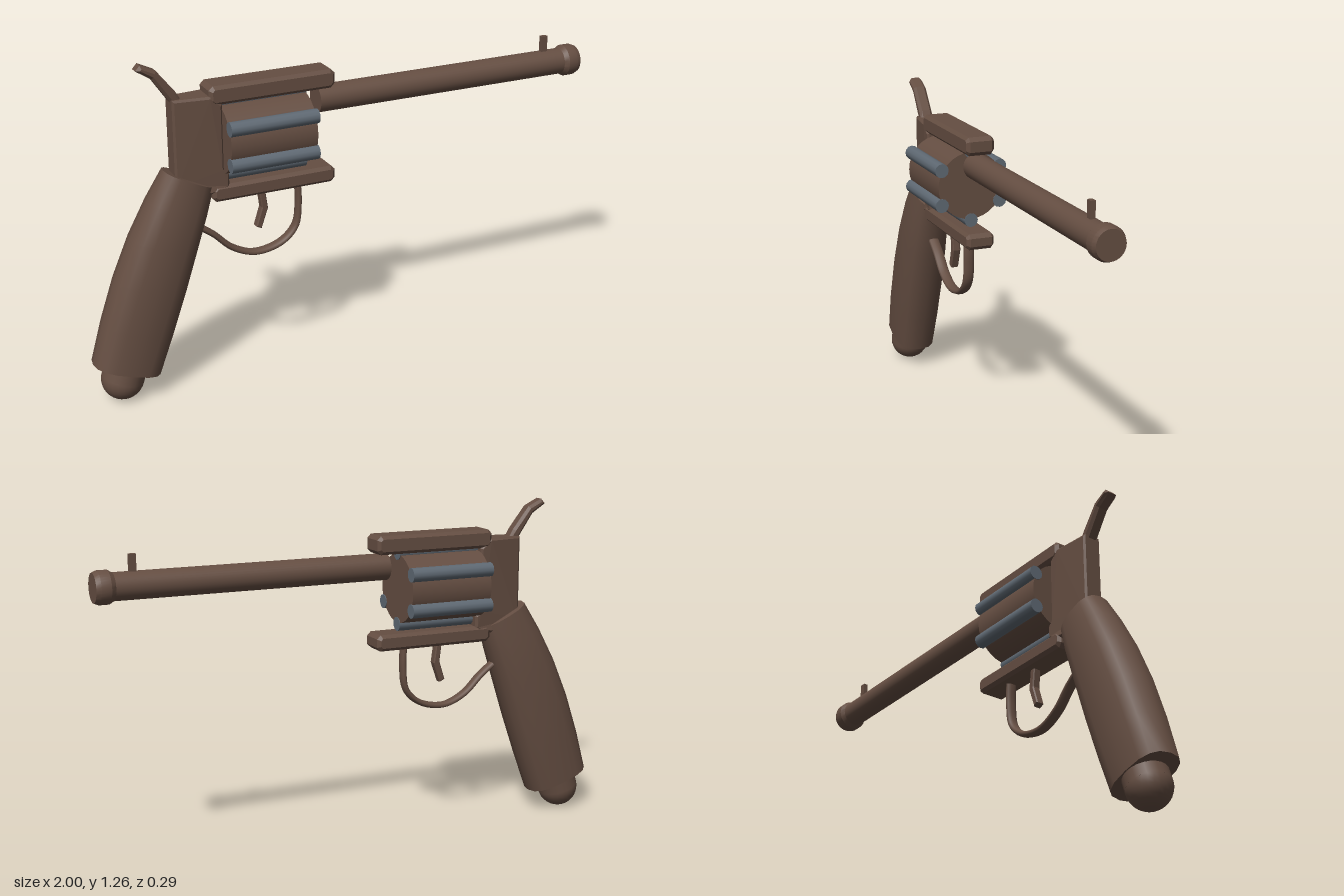
import * as THREE from 'three';
import { toCreasedNormals } from 'three/addons/utils/BufferGeometryUtils.js';

const brown = new THREE.MeshStandardMaterial({ color: 0x654e42 });
brown.name = 'brown';
const steel = new THREE.MeshStandardMaterial({ color: 0x5f6973 });
steel.name = 'steel grey';

// Side profile in x/y, extruded to a half width in z with chamfered edges
function plate(points, halfWidth, bevel) {
  const shape = new THREE.Shape(points.map(([x, y]) => new THREE.Vector2(x, y)));
  const depth = 2 * (halfWidth - bevel);
  const geo = new THREE.ExtrudeGeometry(shape, {
    depth, bevelEnabled: bevel > 0, bevelSize: bevel, bevelThickness: bevel,
    bevelOffset: -bevel, bevelSegments: 1,
  });
  return geo.translate(0, 0, -depth / 2);
}

// Bar with clipped corners
function strap(x0, x1, y0, y1) {
  const c = 0.015;
  return plate([
    [x0 + c, y0], [x1 - c, y0], [x1, y0 + c], [x1, y1 - c],
    [x1 - c, y1], [x0 + c, y1], [x0, y1 - c], [x0, y0 + c],
  ], 0.055, 0.012);
}

// Solid of revolution along x, from [x, radius] pairs
function turned(profile, sides) {
  const geo = new THREE.LatheGeometry(profile.map(([x, r]) => new THREE.Vector2(r, x)), sides);
  return toCreasedNormals(geo.rotateZ(-Math.PI / 2).scale(1, -1, 1).rotateX(0), 0.6);
}

// Cylinder lying along x
function rod(x0, x1, r, sides) {
  return new THREE.CylinderGeometry(r, r, x1 - x0, sides).rotateZ(-Math.PI / 2).translate((x0 + x1) / 2, 0, 0);
}

// Lofted grip: each station gives back point, front point and half width
function gripGeometry() {
  const stations = [
    [-0.70, 0.865, -0.52, 0.78, 0.066],
    [-0.765, 0.76, -0.55, 0.68, 0.08],
    [-0.835, 0.63, -0.593, 0.55, 0.088],
    [-0.90, 0.48, -0.642, 0.40, 0.091],
    [-0.955, 0.32, -0.698, 0.24, 0.09],
    [-1.0, 0.165, -0.755, 0.085, 0.084],
  ];
  const n = 16, pos = [], idx = [];
  const soft = (v) => Math.sign(v) * Math.pow(Math.abs(v), 0.75);
  for (const [bx, by, fx, fy, w] of stations) {
    for (let j = 0; j < n; j++) {
      const a = (j / n) * Math.PI * 2, u = soft(Math.cos(a)) / 2;
      pos.push((bx + fx) / 2 + u * (fx - bx), (by + fy) / 2 + u * (fy - by), w * soft(Math.sin(a)));
    }
  }
  const last = stations.length - 1;
  for (let i = 0; i < last; i++) {
    for (let j = 0; j < n; j++) {
      const a = i * n + j, b = i * n + ((j + 1) % n);
      idx.push(a, b, a + n, b, b + n, a + n);
    }
  }
  for (let j = 1; j < n - 1; j++) {
    idx.push(0, j + 1, j, last * n, last * n + j, last * n + j + 1);
  }
  const geo = new THREE.BufferGeometry();
  geo.setAttribute('position', new THREE.Float32BufferAttribute(pos, 3));
  geo.setIndex(idx);
  return toCreasedNormals(geo, 0.7);
}

export function createModel() {
  const model = new THREE.Group();
  model.name = 'revolver';
  const add = (name, geo, material = brown, x = 0, y = 0, z = 0) => {
    const mesh = new THREE.Mesh(geo, material);
    mesh.name = name;
    mesh.position.set(x, y, z);
    model.add(mesh);
    return mesh;
  };

  // Barrel, flared muzzle and front sight
  add('barrel', rod(-0.11, 0.95, 0.05, 32), brown, 0, 1.04);
  const muzzle = new THREE.LatheGeometry(
    [[0, 0.93], [0.05, 0.93], [0.06, 0.947], [0.06, 0.983], [0.053, 1.0], [0, 1.0]]
      .map(([r, x]) => new THREE.Vector2(r, x)), 32).rotateZ(-Math.PI / 2);
  add('muzzle', toCreasedNormals(muzzle, 0.4), brown, 0, 1.04);
  add('frontSight', new THREE.BoxGeometry(0.025, 0.07, 0.018), brown, 0.858, 1.115);

  // Drum with six chamber rods around it
  const drumY = 0.953;
  add('drum', rod(-0.49, -0.16, 0.13, 32), brown, 0, drumY);
  for (let i = 0; i < 6; i++) {
    const a = (i / 6) * Math.PI * 2;
    add('chamberRod', rod(-0.492, -0.157, 0.027, 12), steel,
      0, drumY + 0.135 * Math.cos(a), 0.135 * Math.sin(a));
  }

  // Frame: upper and lower straps joined by a rear block narrowed at the back
  add('topStrap', strap(-0.535, -0.055, 1.09, 1.16));
  add('bottomStrap', strap(-0.535, -0.055, 0.728, 0.79));
  const block = plate([
    [-0.667, 0.80], [-0.54, 0.76], [-0.47, 0.78], [-0.47, 0.83],
    [-0.488, 0.85], [-0.488, 1.09], [-0.53, 1.125], [-0.667, 1.125],
  ], 0.052, 0.008);
  const p = block.attributes.position;
  for (let i = 0; i < p.count; i++) {
    if (p.getX(i) < -0.64) p.setZ(i, p.getZ(i) * 0.7);
  }
  block.computeVertexNormals();
  add('rearFrame', block);

  // Hammer, thinner toward its curled tip
  add('hammer', plate([
    [-0.785, 1.243], [-0.73, 1.208], [-0.66, 1.105], [-0.62, 1.105],
    [-0.645, 1.15], [-0.712, 1.235], [-0.768, 1.262],
  ], 0.026, 0.01));

  // Trigger
  add('trigger', plate([
    [-0.345, 0.74], [-0.335, 0.66], [-0.358, 0.588], [-0.337, 0.578],
    [-0.31, 0.655], [-0.322, 0.74],
  ], 0.016, 0.004));

  // Trigger guard: a band twice as wide as it is thick
  const guardPath = new THREE.CatmullRomCurve3([
    [-0.187, 0.74], [-0.184, 0.65], [-0.198, 0.56], [-0.255, 0.505], [-0.36, 0.484],
    [-0.45, 0.52], [-0.52, 0.585], [-0.58, 0.63],
  ].map(([x, y]) => new THREE.Vector3(x, y, 0)));
  add('triggerGuard', new THREE.TubeGeometry(guardPath, 40, 0.0115, 10).scale(1, 1, 1.9));

  // Grip with a rounded butt cap
  add('grip', gripGeometry());
  add('buttCap', new THREE.SphereGeometry(0.079, 24, 16), brown, -0.893, 0.085);
  const neck = add('buttNeck', new THREE.CylinderGeometry(0.079, 0.079, 0.07, 24), brown, -0.882, 0.119);
  neck.rotation.z = -0.31;

  return model;
}
